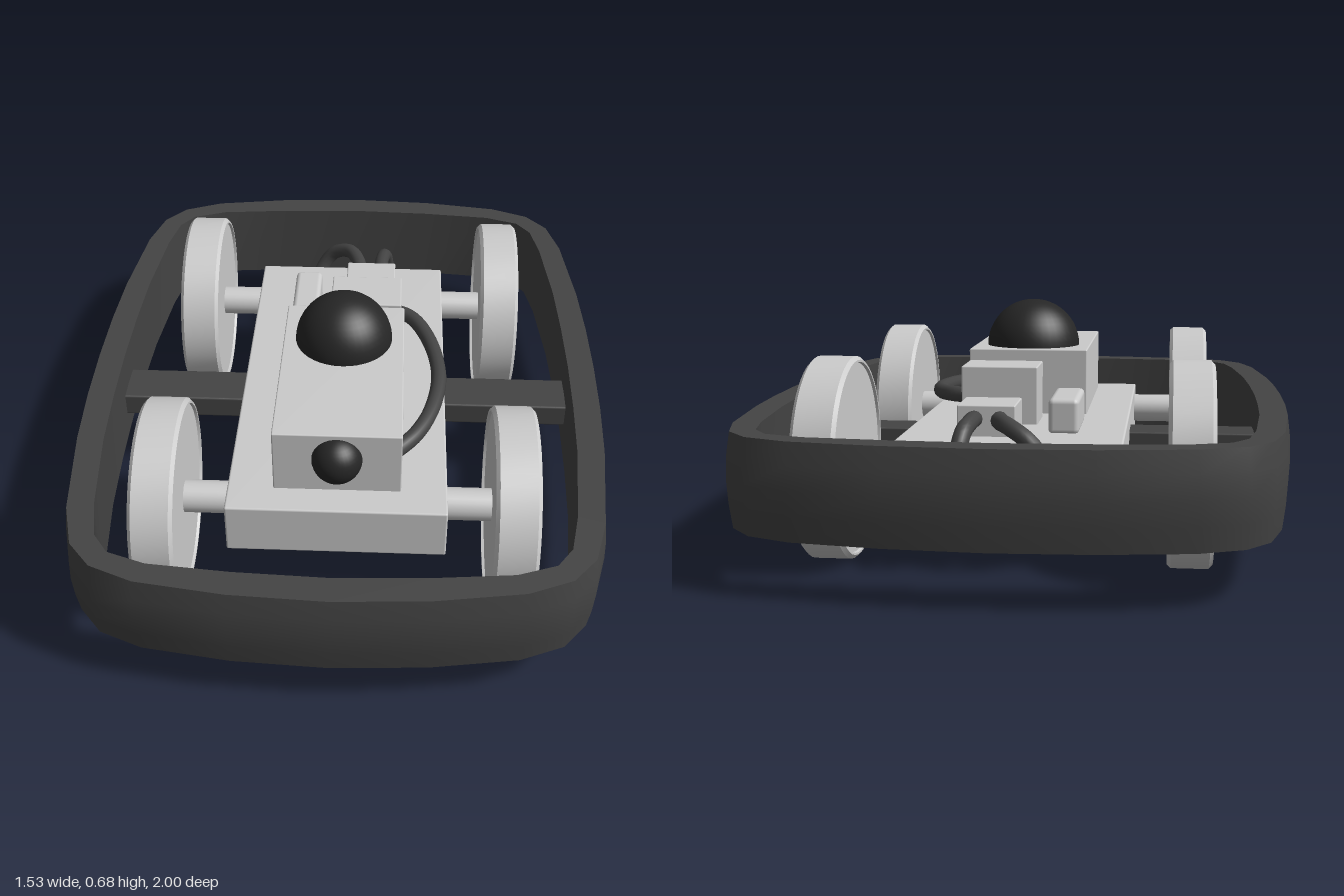
import * as THREE from 'three';
import { toCreasedNormals } from 'three/addons/utils/BufferGeometryUtils.js';
import { RoundedBoxGeometry } from 'three/addons/geometries/RoundedBoxGeometry.js';

const grey = new THREE.MeshStandardMaterial({ color: 0xcccccc });
const dark = new THREE.MeshStandardMaterial({ color: 0x444444 });
const black = new THREE.MeshStandardMaterial({ color: 0x262626 });

function add(parent, name, geometry, material, x = 0, y = 0, z = 0) {
  const mesh = new THREE.Mesh(geometry, material);
  mesh.name = name;
  mesh.position.set(x, y, z);
  parent.add(mesh);
  return mesh;
}

// Box given by its limits on each axis, with slightly eased edges
function addBox(parent, name, [x0, x1], [y0, y1], [z0, z1], material = grey, radius = 0.006) {
  const geometry = new RoundedBoxGeometry(x1 - x0, y1 - y0, z1 - z0, 2, radius);
  return add(parent, name, geometry, material, (x0 + x1) / 2, (y0 + y1) / 2, (z0 + z1) / 2);
}

function addCable(parent, name, points) {
  const curve = new THREE.CatmullRomCurve3(points.map((p) => new THREE.Vector3(...p)));
  return add(parent, name, new THREE.TubeGeometry(curve, 48, 0.023, 12), dark);
}

// Mirror one quarter of an outline into a closed loop
function mirrorQuarter(q) {
  const back = q.map(([x, z]) => [x, -z]).reverse().slice(1);
  const half = [...q, ...back];
  const other = half.slice(1, -1).map(([x, z]) => [-x, z]).reverse();
  return [...half, ...other];
}

// Bumper: a bulging cross-section carried round a soft rectangular loop
function bumperGeometry() {
  const outer = mirrorQuarter([[0, 1], [0.26, 0.987], [0.5, 0.952], [0.62, 0.902],
    [0.685, 0.825], [0.722, 0.69], [0.753, 0.4], [0.763, 0.2], [0.766, 0]]);
  const inner = mirrorQuarter([[0, 0.907], [0.25, 0.897], [0.47, 0.877], [0.575, 0.84],
    [0.618, 0.78], [0.642, 0.66], [0.667, 0.4], [0.675, 0.2], [0.678, 0]]);
  const section = [[0, 0.4], [0.987, 0.4], [0.997, 0.34], [1, 0.28], [0.995, 0.215], [0.985, 0.15], [0, 0.15]];
  const positions = [];
  const index = [];
  const n = outer.length;
  const m = section.length;
  for (let i = 0; i < n; i++) {
    for (const [scale, y] of section) {
      const [x, z] = scale ? outer[i].map((v) => v * scale) : inner[i];
      positions.push(x, y, z);
    }
  }
  for (let i = 0; i < n; i++) {
    for (let j = 0; j < m; j++) {
      const a = i * m + j;
      const b = i * m + (j + 1) % m;
      const c = ((i + 1) % n) * m + j;
      const d = ((i + 1) % n) * m + (j + 1) % m;
      index.push(a, b, c, b, d, c);
    }
  }
  const geometry = new THREE.BufferGeometry();
  geometry.setAttribute('position', new THREE.Float32BufferAttribute(positions, 3));
  geometry.setIndex(index);
  return toCreasedNormals(geometry, 0.7);
}

// Wheel: chamfered disc with a fine raised lip, turned about x
function wheelGeometry() {
  const half = [[0, 0.052], [0.26, 0.052], [0.262, 0.06], [0.268, 0.06], [0.278, 0.05]];
  const profile = [...half.map(([r, h]) => [r, -h]), ...half.slice().reverse()];
  const lathe = new THREE.LatheGeometry(profile.map(([r, h]) => new THREE.Vector2(r, h)), 48);
  return toCreasedNormals(lathe, 0.5).rotateZ(Math.PI / 2);
}

export function createModel() {
  const model = new THREE.Group();
  model.name = 'rover';

  // Surrounding bumper and its cross support
  add(model, 'bumper', bumperGeometry(), dark);
  addBox(model, 'bumperCrossbar', [-0.69, 0.69], [0.22, 0.29], [-0.075, 0.065], dark);

  // Chassis and the battery under it
  addBox(model, 'chassis', [-0.305, 0.305], [0.19, 0.345], [-0.615, 0.61]);
  addBox(model, 'batteryPack', [-0.177, 0.177], [0.073, 0.2], [-0.3, 0.31], dark);

  // Wheels on stub axles
  const wheel = wheelGeometry();
  const axle = new THREE.CylinderGeometry(0.046, 0.046, 0.2, 24).rotateZ(Math.PI / 2);
  for (const [end, z] of [['front', 0.492], ['rear', -0.495]]) {
    for (const [side, s] of [['Left', 1], ['Right', -1]]) {
      add(model, `${end}${side}Wheel`, wheel, grey, s * 0.482, 0.278, z);
      add(model, `${end}${side}Axle`, axle, grey, s * 0.36, 0.278, z);
    }
  }

  // Sensor housing with dome and front lens
  addBox(model, 'sensorHousing', [-0.177, 0.177], [0.34, 0.538], [-0.093, 0.522], grey, 0.004);
  add(model, 'sensorDome', new THREE.SphereGeometry(0.142, 40, 24), black, 0, 0.536, 0.07);
  add(model, 'frontLens', new THREE.SphereGeometry(0.07, 32, 20), black, 0, 0.455, 0.518);

  // Electronics on the rear deck
  addBox(model, 'controlBox', [-0.05, 0.168], [0.34, 0.51], [-0.303, -0.145], grey, 0.004);
  addBox(model, 'powerConnector', [-0.012, 0.147], [0.34, 0.43], [-0.513, -0.355], grey, 0.004);
  addBox(model, 'deckModule', [-0.178, -0.093], [0.34, 0.44], [-0.44, -0.2], grey, 0.015);

  // Cable from the control box to the housing
  addCable(model, 'sideCable', [[0.14, 0.42, -0.25], [0.2, 0.418, -0.215], [0.255, 0.41, -0.11],
    [0.285, 0.4, 0.06], [0.262, 0.395, 0.22], [0.215, 0.39, 0.33], [0.15, 0.385, 0.41]]);

  // Cables looping over the tail down to the battery sockets
  addCable(model, 'powerCableRight', [[0.03, 0.39, -0.48], [0.025, 0.395, -0.56], [-0.01, 0.395, -0.64],
    [-0.07, 0.36, -0.68], [-0.12, 0.28, -0.66], [-0.135, 0.18, -0.57], [-0.12, 0.135, -0.43], [-0.11, 0.135, -0.28]]);
  addCable(model, 'powerCableLeft', [[0.1, 0.39, -0.48], [0.1, 0.395, -0.57], [0.11, 0.375, -0.65],
    [0.12, 0.31, -0.685], [0.125, 0.22, -0.62], [0.12, 0.15, -0.48], [0.11, 0.135, -0.28]]);
  for (const [side, x] of [['Left', 0.11], ['Right', -0.11]]) {
    const socket = new THREE.CylinderGeometry(0.038, 0.038, 0.05, 20).rotateX(Math.PI / 2);
    add(model, `batterySocket${side}`, socket, dark, x, 0.135, -0.315);
  }
  return model;
}
